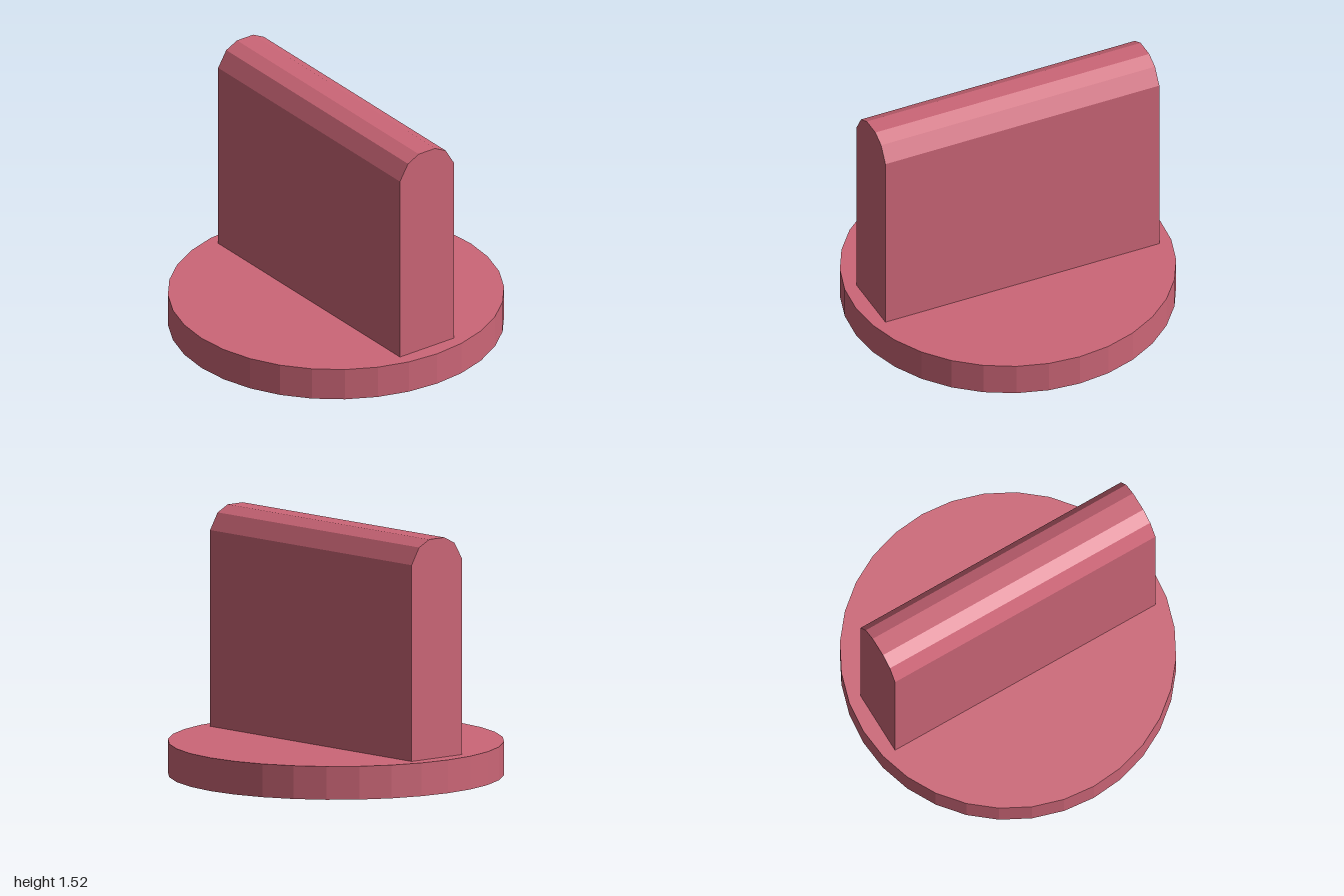
import * as THREE from 'three';

export function createModel() {
  const group = new THREE.Group();
  const material = new THREE.MeshStandardMaterial({ color: 0xcc6677, flatShading: true });

  // Round base disc
  const base = new THREE.Mesh(new THREE.CylinderGeometry(1, 1, 0.2, 32), material);
  base.name = 'base';
  base.position.y = 0.1;
  group.add(base);

  // Upright grip with a faceted, rounded top, extruded front to back
  const half = [[0.2, 0.2], [0.2, 1.38], [0.14, 1.48], [0.06, 1.52]];
  const mirrored = half.map(([x, y]) => [-x, y]).reverse();
  const profile = new THREE.Shape([...half, ...mirrored].map(([x, y]) => new THREE.Vector2(x, y)));
  const gripGeometry = new THREE.ExtrudeGeometry(profile, { depth: 1.8, bevelEnabled: false });
  gripGeometry.translate(0, 0, -0.9);
  const grip = new THREE.Mesh(gripGeometry, material);
  grip.name = 'grip';
  group.add(grip);

  return group;
}
